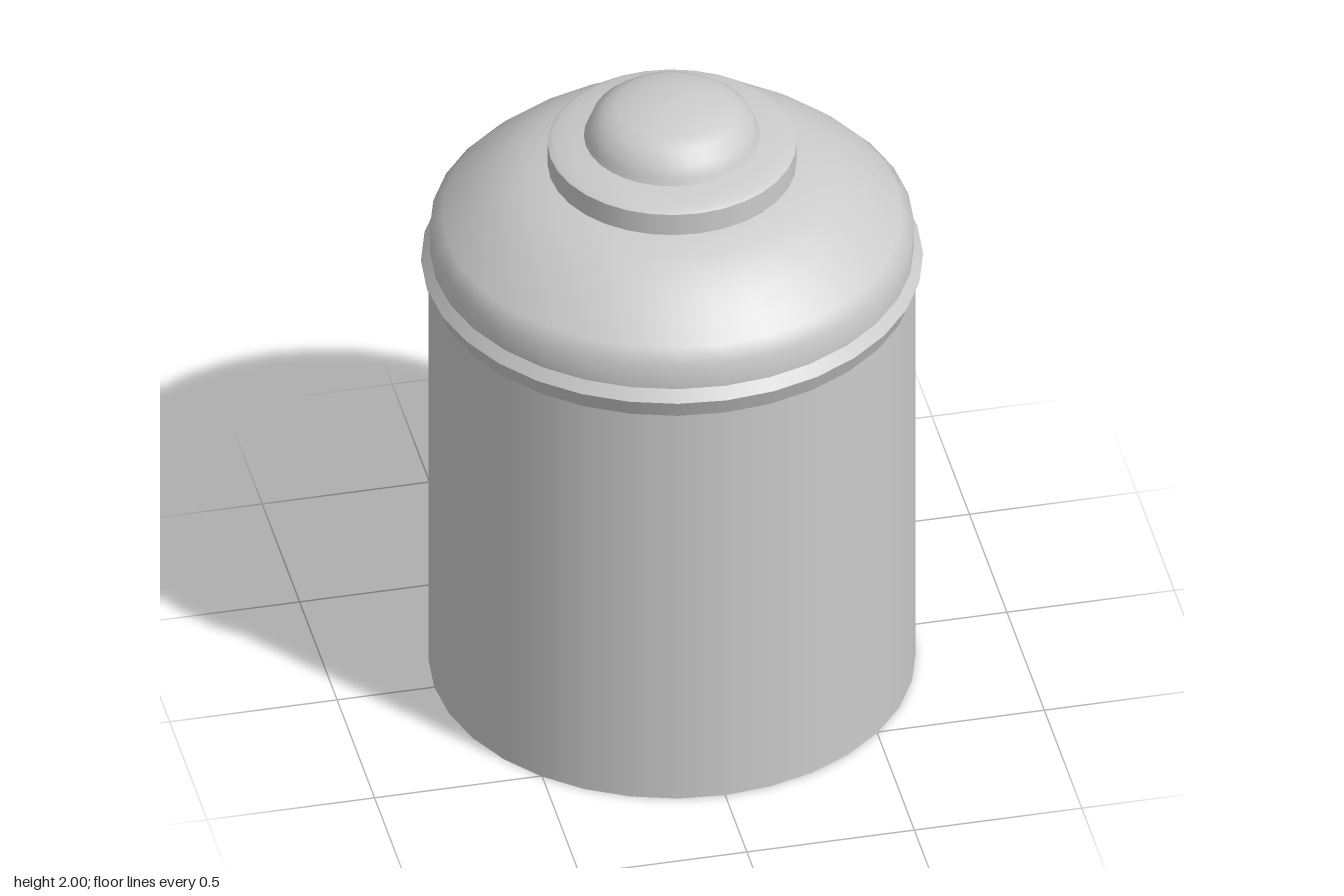
import * as THREE from 'three';

const SEGMENTS = 32;

export function createModel() {
  const group = new THREE.Group();
  const material = new THREE.MeshStandardMaterial({ color: 0xcccccc });

  // Turned part from [radius, height] pairs, listed bottom to top
  const turn = (name, profile) => {
    const points = profile.map(([r, y]) => new THREE.Vector2(r, y));
    const mesh = new THREE.Mesh(new THREE.LatheGeometry(points, SEGMENTS), material);
    mesh.name = name;
    group.add(mesh);
  };

  // Closed base and straight wall
  turn('base', [[0, 0], [0.71, 0]]);
  turn('body', [[0.71, 0], [0.71, 1.375]]);

  // Flared rim between body and lid
  turn('rimUnderside', [[0.71, 1.375], [0.732, 1.434]]);
  turn('rimTop', [[0.732, 1.434], [0.706, 1.468]]);

  // Domed lid
  turn('lid', [
    [0.706, 1.468], [0.706, 1.55], [0.67, 1.59], [0.62, 1.637], [0.565, 1.683],
    [0.5, 1.725], [0.44, 1.751], [0.36, 1.775], [0.3, 1.782],
  ]);

  // Stepped collar with a gently sloping top
  turn('collarWall', [[0.363, 1.772], [0.363, 1.846]]);
  turn('collarTop', [[0.363, 1.846], [0.345, 1.856], [0.3, 1.866], [0.255, 1.873]]);

  // Rounded knob
  turn('knob', [
    [0.257, 1.873], [0.25, 1.89], [0.235, 1.928], [0.2, 1.958],
    [0.165, 1.974], [0.115, 1.988], [0.06, 1.997], [0, 2],
  ]);

  return group;
}
